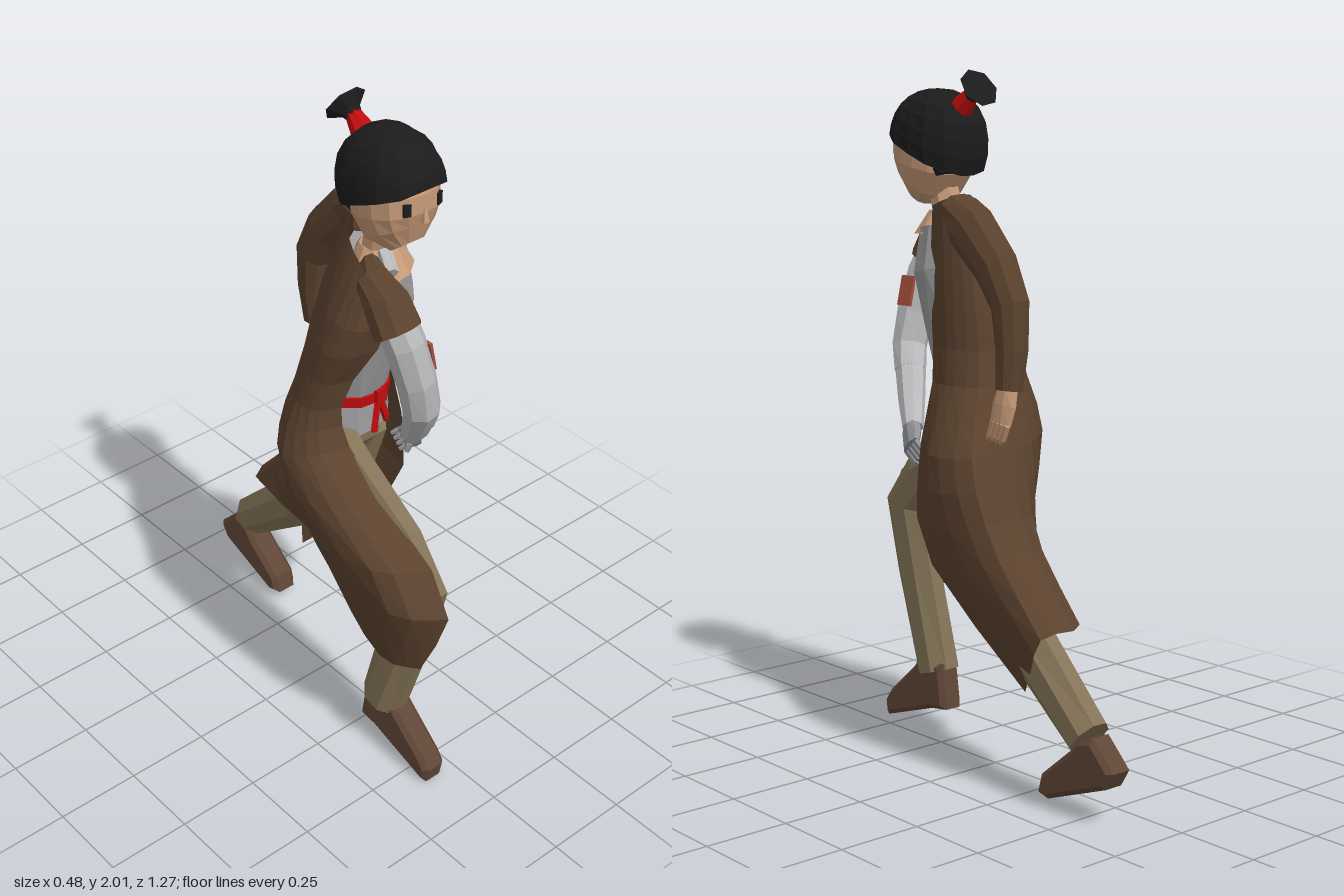
import * as THREE from 'three';

const V = (p) => new THREE.Vector3(p[0], p[1], p[2]);

// Cosine and sine pushed outward towards a rounded square when power > 2
const rounded = (angle, power) => {
  const c = Math.cos(angle), s = Math.sin(angle);
  const k = 1 / (Math.abs(c) ** power + Math.abs(s) ** power) ** (1 / power);
  return [c * k, s * k];
};

export function createModel() {
  const model = new THREE.Group();
  model.name = 'runningFigure';

  const mat = (name, color, side = THREE.FrontSide) => {
    const m = new THREE.MeshStandardMaterial({ color, side });
    m.name = name;
    return m;
  };
  const coatBrown = mat('coatBrown', 0x5c432f, THREE.DoubleSide);
  const shoeBrown = mat('shoeBrown', 0x5f4636);
  const trouserOlive = mat('trouserOlive', 0x837357);
  const shirtGrey = mat('shirtGrey', 0x9c9c9c);
  const sleeveGrey = mat('sleeveGrey', 0xbcbcbe);
  const gloveGrey = mat('gloveGrey', 0x8f9196);
  const skin = mat('skin', 0xc69a78);
  const black = mat('hairBlack', 0x1c1c1c);
  const red = mat('sashRed', 0xc00c0c);
  const patchRed = mat('patchRed', 0xa54f3e);

  // Adds a faceted mesh
  const add = (name, geometry, material, parent = model) => {
    const g = geometry.index ? geometry.toNonIndexed() : geometry;
    g.computeVertexNormals();
    const mesh = new THREE.Mesh(g, material);
    mesh.name = name;
    parent.add(mesh);
    return mesh;
  };

  // Closed loft through sections [x, y, z, rx, rz, yaw]; radii are measured to the flat sides
  const loft = (sections, sides = 8, power = 2) => {
    const pos = [], idx = [], n = sections.length, k = 1 / Math.cos(Math.PI / sides);
    sections.forEach((s, i) => {
      const yaw = s[5] || 0;
      const t = V(sections[Math.min(i + 1, n - 1)]).sub(V(sections[Math.max(i - 1, 0)])).normalize();
      const side = new THREE.Vector3(Math.cos(yaw), 0, -Math.sin(yaw));
      side.addScaledVector(t, -t.dot(side)).normalize();
      const other = t.clone().cross(side);
      for (let j = 0; j < sides; j++) {
        const [c, sn] = rounded(((j + 0.5) / sides) * Math.PI * 2, power);
        const p = V(s).addScaledVector(side, k * s[3] * c).addScaledVector(other, k * (s[4] ?? s[3]) * sn);
        pos.push(p.x, p.y, p.z);
      }
    });
    for (let i = 0; i < n - 1; i++) for (let j = 0; j < sides; j++) {
      const a = i * sides + j, b = i * sides + (j + 1) % sides;
      idx.push(a, b, a + sides, b, b + sides, a + sides);
    }
    const last = (n - 1) * sides;
    for (let j = 1; j < sides - 1; j++) idx.push(0, j + 1, j, last, last + j, last + j + 1);
    const g = new THREE.BufferGeometry();
    g.setAttribute('position', new THREE.Float32BufferAttribute(pos, 3));
    g.setIndex(idx);
    return g;
  };

  // Head, nose and eyes
  const head = new THREE.Group();
  head.name = 'head';
  model.add(head);
  add('face', loft([[0.018, 1.65, 0.298, 0.045, 0.038], [0.018, 1.69, 0.268, 0.086, 0.09],
    [0.018, 1.74, 0.25, 0.102, 0.112], [0.018, 1.8, 0.24, 0.104, 0.119],
    [0.018, 1.86, 0.23, 0.092, 0.11], [0.018, 1.9, 0.23, 0.06, 0.07]], 14, 2.5), skin, head);
  add('nose', loft([[0.018, 1.74, 0.36, 0.009, 0.009], [0.018, 1.785, 0.357, 0.004, 0.004]], 4), skin, head);
  for (const s of [-1, 1]) {
    const eye = add('eye', new THREE.BoxGeometry(0.021, 0.034, 0.009), black, head);
    eye.position.set(0.018 + s * 0.055, 1.788, 0.352);
    eye.rotation.y = s * 0.36;
  }

  // Hair cap whose lower edge drops from brow to nape
  const hair = new THREE.SphereGeometry(1, 14, 7, 0, Math.PI * 2, 0, Math.PI / 2);
  const hp = hair.attributes.position;
  for (let i = 0; i < hp.count; i++) {
    const around = Math.atan2(hp.getX(i), hp.getZ(i));
    const down = (Math.acos(Math.min(1, hp.getY(i))) / (Math.PI / 2)) * (1.74 - 0.42 * Math.cos(around));
    const [fz, fx] = rounded(around, 2.9), [up, out] = rounded(down, 2.3);
    hp.setXYZ(i, 0.018 + 0.117 * out * fx, 1.8 + 0.157 * up, 0.228 + 0.146 * out * fz);
  }
  add('hairCap', hair, black, head);
  add('hairUnderside', loft([[0.018, 1.715, 0.145, 0.07, 0.035], [0.018, 1.8, 0.17, 0.09, 0.065]], 10), black, head);
  add('hairTie', loft([[0.02, 1.9, 0.122, 0.033], [0.02, 1.94, 0.075, 0.02]], 8), red, head);
  add('topknot', loft([[0.02, 1.932, 0.085, 0.02], [0.02, 1.942, 0.07, 0.025], [0.02, 1.956, 0.046, 0.058, 0.054]], 7), black, head);

  // Neck, chest and twisted torso
  add('neck', loft([[0.015, 1.54, 0.18, 0.048], [0.015, 1.61, 0.19, 0.042], [0.015, 1.72, 0.22, 0.042]]), skin);
  add('upperChest', loft([[0.025, 1.54, 0.185, 0.108, 0.088, 0.92], [0.02, 1.61, 0.185, 0.05, 0.05, 0.92]], 10), skin);
  add('shirt', loft([[0.02, 1.0, 0.08, 0.122, 0.1, 0.35], [0.01, 1.12, 0.075, 0.11, 0.105, 0.4],
    [0.02, 1.3, 0.12, 0.12, 0.105, 0.7], [0.03, 1.45, 0.155, 0.13, 0.11, 0.9],
    [0.03, 1.57, 0.17, 0.115, 0.08, 0.92]], 12), shirtGrey);
  add('shirtCollar', loft([[-0.025, 1.57, 0.285, 0.018, 0.02], [0, 1.605, 0.23, 0.018, 0.015]], 6), sleeveGrey);

  // Sash with knot and tails
  const sash = new THREE.Group();
  sash.name = 'sash';
  model.add(sash);
  add('sashBand', loft([[0.01, 1.11, 0.077, 0.119, 0.114, 0.4], [0.01, 1.142, 0.08, 0.119, 0.114, 0.4]], 12), red, sash);
  add('sashKnot', new THREE.BoxGeometry(0.035, 0.04, 0.03), red, sash).position.set(0.025, 1.12, 0.19);
  for (const s of [-1, 1]) {
    const tail = add('sashTail', new THREE.BoxGeometry(0.024, 0.095, 0.009), red, sash);
    tail.position.set(0.025 + s * 0.02, 1.065, 0.195 - s * 0.008);
    tail.rotation.set(-0.1, 0.4, s * 0.4);
  }

  // Trousers
  add('pelvis', loft([[0.01, 0.9, 0.05, 0.06, 0.06], [0.01, 0.97, 0.07, 0.105, 0.09], [0.01, 1.04, 0.075, 0.108, 0.09]]), trouserOlive);
  add('rightTrouserLeg', loft([[-0.06, 0.98, 0.06, 0.065, 0.088], [-0.08, 0.9, 0.2, 0.058, 0.1],
    [-0.08, 0.78, 0.415, 0.05, 0.085], [-0.08, 0.69, 0.5, 0.046, 0.082],
    [-0.085, 0.5, 0.455, 0.05, 0.078], [-0.09, 0.185, 0.367, 0.056, 0.067]]), trouserOlive);
  add('leftTrouserLeg', loft([[0.08, 0.97, 0.06, 0.058, 0.085], [0.085, 0.78, -0.02, 0.052, 0.1],
    [0.09, 0.58, -0.14, 0.05, 0.09], [0.11, 0.43, -0.285, 0.053, 0.08], [0.12, 0.23, -0.518, 0.055, 0.062]]), trouserOlive);

  // Shoes from side profiles [z, y]
  const shoe = (name, profile, x, width) => {
    const b = 0.014;
    const shape = new THREE.Shape(profile.map((p) => new THREE.Vector2(p[0], p[1])));
    const g = new THREE.ExtrudeGeometry(shape, { depth: width - 2 * b, bevelThickness: b, bevelSize: b, bevelOffset: -b, bevelSegments: 1 });
    g.rotateY(-Math.PI / 2).translate(x + width / 2 - b, 0, 0);
    add(name, g, shoeBrown);
  };
  shoe('rightShoe', [[0.29, 0.08], [0.36, 0.07], [0.575, 0], [0.585, 0.05], [0.56, 0.085], [0.44, 0.19], [0.42, 0.22], [0.31, 0.22]], -0.082, 0.08);
  shoe('leftShoe', [[-0.63, 0.16], [-0.6, 0.11], [-0.375, 0.025], [-0.335, 0.035], [-0.35, 0.09], [-0.47, 0.19], [-0.49, 0.22], [-0.55, 0.24]], 0.108, 0.085);

  // Coat: vertical seams from right front edge, round the back, to left front edge
  const seams = [
    [[0, 1.58, 0.27], [-0.03, 1.4, 0.285], [-0.11, 1.15, 0.19], [-0.1, 1.0, 0.22], [-0.105, 0.71, 0.63], [-0.12, 0.43, 0.545]],
    [[-0.08, 1.58, 0.29], [-0.14, 1.4, 0.275], [-0.175, 1.15, 0.155], [-0.2, 0.99, 0.18], [-0.215, 0.72, 0.55], [-0.17, 0.43, 0.46]],
    [[-0.08, 1.6, 0.22], [-0.165, 1.4, 0.2], [-0.175, 1.15, 0.08], [-0.235, 0.95, 0.08], [-0.21, 0.69, 0.25], [-0.13, 0.47, 0.25]],
    [[-0.03, 1.63, 0.12], [-0.08, 1.4, 0.05], [-0.08, 1.15, -0.03], [-0.1, 0.96, -0.08], [-0.08, 0.7, -0.05], [-0.03, 0.51, 0.01]],
    [[0.05, 1.66, 0.05], [0.02, 1.4, -0.03], [0.02, 1.15, -0.07], [0.03, 0.94, -0.14], [0.04, 0.72, -0.215], [0.05, 0.5, -0.41]],
    [[0.11, 1.66, 0.01], [0.11, 1.4, -0.04], [0.11, 1.15, -0.065], [0.2, 0.93, -0.14], [0.2, 0.72, -0.225], [0.185, 0.49, -0.4]],
    [[0.14, 1.65, 0.05], [0.145, 1.4, 0.03], [0.15, 1.15, 0.02], [0.235, 0.92, 0.0], [0.23, 0.68, -0.08], [0.165, 0.37, -0.33]],
    [[0.13, 1.63, 0.12], [0.14, 1.4, 0.12], [0.135, 1.15, 0.115], [0.18, 0.94, 0.12], [0.2, 0.68, 0.09], [0.1, 0.29, -0.24]],
  ].map((s) => new THREE.CatmullRomCurve3(s.map(V)));
  const rows = 12, cols = 18, cp = [], ci = [];
  for (let i = 0; i <= rows; i++) {
    const across = new THREE.CatmullRomCurve3(seams.map((s) => s.getPoint(i / rows)));
    for (let j = 0; j <= cols; j++) {
      const p = across.getPoint(j / cols);
      cp.push(p.x, p.y, p.z);
      if (i < rows && j < cols) {
        const a = i * (cols + 1) + j, b = a + cols + 1;
        ci.push(a, b, a + 1, a + 1, b, b + 1);
      }
    }
  }
  const coat = new THREE.BufferGeometry();
  coat.setAttribute('position', new THREE.Float32BufferAttribute(cp, 3));
  coat.setIndex(ci);
  add('coat', coat, coatBrown);

  // Coat sleeves
  add('leftCoatSleeve', loft([[0.06, 1.61, 0.09, 0.035, 0.045], [0.11, 1.615, 0.02, 0.06, 0.05], [0.126, 1.575, -0.04, 0.056, 0.074],
    [0.12, 1.47, -0.14, 0.052, 0.066], [0.118, 1.37, -0.195, 0.048, 0.055], [0.122, 1.25, -0.207, 0.042, 0.045],
    [0.13, 1.14, -0.205, 0.035, 0.037]], 10), coatBrown);
  add('rightCoatSleeve', loft([[-0.03, 1.56, 0.21, 0.03, 0.04], [-0.07, 1.555, 0.275, 0.05, 0.042], [-0.085, 1.53, 0.335, 0.062, 0.062],
    [-0.08, 1.46, 0.375, 0.068, 0.058]], 10), coatBrown);

  // Bare grey arm with patch
  add('rightShirtSleeve', loft([[-0.08, 1.5, 0.35, 0.052], [-0.06, 1.42, 0.38, 0.054], [-0.03, 1.3, 0.398, 0.052], [-0.005, 1.2, 0.395, 0.049],
    [0.025, 1.13, 0.355, 0.044]]), sleeveGrey);
  add('rightForearm', loft([[0.02, 1.14, 0.36, 0.043], [0.065, 1.05, 0.3, 0.037], [0.105, 0.98, 0.245, 0.029]]), sleeveGrey);
  const patch = add('sleevePatch', new THREE.BoxGeometry(0.009, 0.09, 0.058), patchRed);
  patch.position.set(0.009, 1.365, 0.39);
  patch.rotation.z = 0.22;

  // Hands with palm, four fingers and a thumb
  const hand = (name, wrist, knuckle, tip, spread, thumbTip, material) => {
    const g = new THREE.Group();
    g.name = name;
    model.add(g);
    const w = V(wrist), k = V(knuckle), t = V(tip), s = V(spread);
    const sec = (p, rx, rz) => [p.x, p.y, p.z, rx, rz];
    add('palm', loft([sec(w, 0.024, 0.028), sec(w.clone().lerp(k, 0.5), 0.022, 0.038), sec(k, 0.016, 0.036)]), material, g);
    for (let i = 0; i < 4; i++) {
      const off = s.clone().multiplyScalar((i - 1.5) / 1.5);
      const a = k.clone().add(off), c = t.clone().add(off);
      const b = a.clone().lerp(c, 0.5).addScaledVector(k.clone().sub(w), 0.15);
      add('finger', loft([sec(a, 0.009, 0.009), sec(b, 0.008, 0.008), sec(c, 0.005, 0.005)], 5), material, g);
    }
    const m = w.clone().lerp(k, 0.4);
    add('thumb', loft([sec(m, 0.012, 0.012), sec(m.clone().lerp(V(thumbTip), 0.6), 0.01, 0.01), sec(V(thumbTip), 0.006, 0.006)], 5), material, g);
  };
  hand('leftHand', [0.133, 1.15, -0.205], [0.15, 1.05, -0.192], [0.14, 0.995, -0.155], [0, 0.004, 0.027], [0.13, 1.04, -0.14], skin);
  hand('rightHand', [0.105, 0.985, 0.25], [0.146, 0.935, 0.2], [0.125, 0.895, 0.155], [0, 0.018, -0.018], [0.1, 0.91, 0.23], gloveGrey);

  return model;
}
